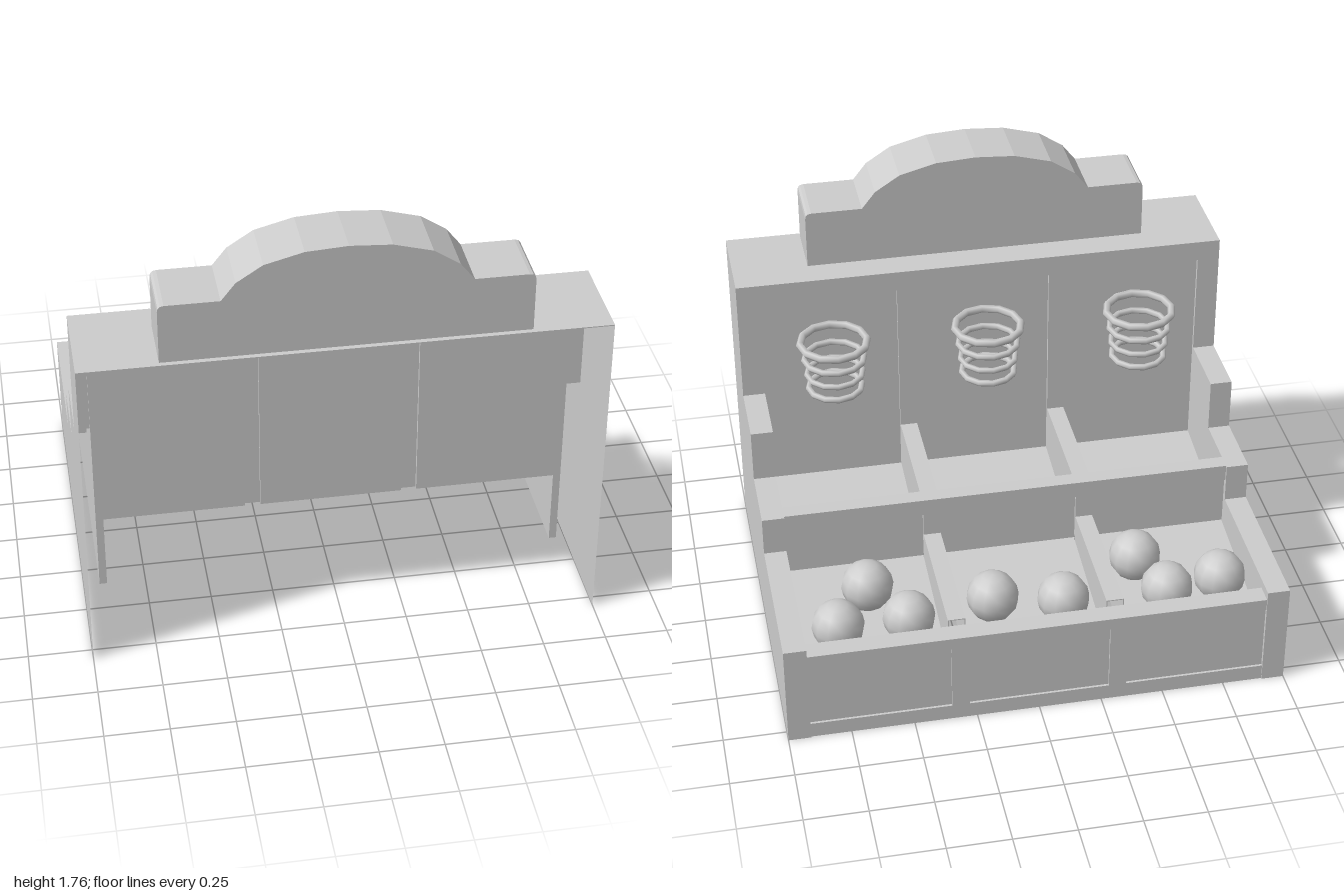
import * as THREE from 'three';

export function createModel() {
  const root = new THREE.Group();
  root.name = 'arcadeTossStand';
  const grey = new THREE.MeshStandardMaterial({ color: 0xcccccc, side: THREE.DoubleSide });
  grey.name = 'plain grey';

  const add = (name, geo, x = 0, y = 0, z = 0) => {
    const m = new THREE.Mesh(geo, grey);
    m.name = name;
    m.position.set(x, y, z);
    root.add(m);
    return m;
  };
  // box given by its limits
  const box = (name, x0, x1, y0, y1, z0, z1) =>
    add(name, new THREE.BoxGeometry(x1 - x0, y1 - y0, z1 - z0), (x0 + x1) / 2, (y0 + y1) / 2, (z0 + z1) / 2);
  // height of the sloping floor
  const floorY = z => 0.235 + (z + 0.715) * (0.15 / 1.14);
  // shape drawn in (z, y), turned so that it stands across x
  const sideShape = pts => new THREE.Shape(pts.map(([z, y]) => new THREE.Vector2(-z, y)));

  const T = 0.004;
  const steps = [[0.41, 1.335], [0.41, 0.82], [0.125, 0.82], [0.125, 0.6], [-0.165, 0.6], [-0.165, 0.437], [-0.8, 0.437]];
  const outer = sideShape([[0.8, 0], [0.8, 1.335], ...steps, [-0.8, 0]]);
  const inner = sideShape([[0.428, 0.065], [0.428, 1.335], ...steps, [-0.8, 0.065]]);

  // hollow stepped sides
  for (const s of [-1, 1]) {
    const sheet = new THREE.ShapeGeometry(outer).rotateY(Math.PI / 2);
    if (s < 0) sheet.scale(-1, 1, 1);
    if (s < 0) {
      const idx = sheet.index.array;
      for (let i = 0; i < idx.length; i += 3) [idx[i], idx[i + 1]] = [idx[i + 1], idx[i]];
      sheet.computeVertexNormals();
    }
    add('outerSide', sheet, s, 0, 0);
    const wall = new THREE.ExtrudeGeometry(inner, { depth: 0.03, bevelEnabled: false }).rotateY(Math.PI / 2);
    add('innerSide', wall, s > 0 ? 0.91 : -0.94, 0, 0);
    const x0 = s > 0 ? 0.91 : -1, x1 = x0 + 0.09;
    const path = [...steps, [-0.8, 0]];
    for (let i = 0; i < path.length - 1; i++) {
      const [za, ya] = path[i], [zb, yb] = path[i + 1];
      if (za === zb) box('stepRiser', x0, x1, yb, ya, za, za + T);
      else box('stepTread', x0, x1, ya - T, ya, zb, za);
    }
  }

  // top and header of the back housing
  box('housingTop', -1, 1, 1.335 - T, 1.335, 0.41, 0.8);
  box('header', -0.94, 0.94, 1.25, 1.335, 0.41, 0.414);

  // three bays: backboard panel, sloping floor, front panel
  const edges = [[-0.91, -0.35], [-0.28, 0.28], [0.35, 0.91]];
  const len = Math.hypot(1.14, 0.15), slope = Math.atan2(0.15, 1.14);
  edges.forEach(([a, b], i) => {
    const x0 = i === 0 ? -0.94 : a, x1 = i === 2 ? 0.94 : b;
    box('backboardPanel', x0, x1, 0.385, 1.25, 0.425, 0.428);
    box('panelTopReveal', a, b, 1.25, 1.253, 0.41, 0.428);
    add('slopingFloor', new THREE.PlaneGeometry(x1 - x0, len).rotateX(-Math.PI / 2 - slope), (x0 + x1) / 2, 0.31, -0.145);
    box('frontPanel', x0, x1, 0.065, 0.35, -0.785, -0.782);
    box('frontPanelLedge', a, b, 0.06, 0.065, -0.795, -0.782);
  });

  // dividers, open underneath and behind
  for (const c of [-0.315, 0.315]) {
    const l = c - 0.035, r = c + 0.035;
    box('backboardStrip', l, r, 0.385, 1.25, 0.41, 0.413);
    box('rearDividerTop', l, r, 0.586, 0.59, -0.09, 0.41);
    box('frontDividerTop', l, r, 0.426, 0.43, -0.715, -0.155);
    box('frontPanelStrip', l, r, 0.065, 0.35, -0.795, -0.782);
    box('crossRailStrip', l, r, 0.33, 0.53, -0.155, -0.14);
    for (const x of [l, r - T]) {
      box('stripWeb', x, x + T, 0.385, 1.25, 0.41, 0.428);
      // webs follow the floor
      for (const [za, zb, top, name] of [[-0.09, 0.41, 0.59, 'rearDividerWeb'], [-0.715, -0.155, 0.43, 'frontDividerWeb']]) {
        const web = sideShape([[za, floorY(za)], [zb, floorY(zb)], [zb, top], [za, top]]);
        add(name, new THREE.ExtrudeGeometry(web, { depth: T, bevelEnabled: false }).rotateY(Math.PI / 2), x, 0, 0);
      }
    }
  }

  // rail across the middle
  box('crossRail', -0.91, 0.91, 0.315, 0.6, -0.14, -0.09);
  box('crossRailLip', -0.91, 0.91, 0.53, 0.6, -0.155, -0.14);

  // front rail and its frame
  box('frontRailTop', -0.91, 0.91, 0.396, 0.4, -0.795, -0.715);
  box('frontRailFace', -0.91, 0.91, 0.35, 0.4, -0.795, -0.782);
  box('frontRailInside', -0.91, 0.91, 0.22, 0.4, -0.719, -0.715);
  box('frontBottomStrip', -0.91, 0.91, 0, 0.065, -0.795, -0.785);

  // arched sign board on top
  const sign = new THREE.Shape();
  sign.moveTo(-0.695, 1.335);
  sign.lineTo(0.695, 1.335);
  sign.lineTo(0.695, 1.55);
  sign.quadraticCurveTo(0.695, 1.575, 0.67, 1.575);
  for (const [x, y] of [[0.465, 1.575], [0.41, 1.645], [0.31, 1.71], [0.16, 1.75], [0, 1.76],
    [-0.16, 1.75], [-0.31, 1.71], [-0.41, 1.645], [-0.465, 1.575], [-0.67, 1.575]]) sign.lineTo(x, y);
  sign.quadraticCurveTo(-0.695, 1.575, -0.695, 1.55);
  add('signBoard', new THREE.ExtrudeGeometry(sign, { depth: 0.25, bevelEnabled: false, curveSegments: 3 }), 0, 0, 0.53);

  // hoops hanging in tapering stacks
  for (const x of [-0.632, 0, 0.632])
    [[1.12, 0.136, 0.016], [1.045, 0.122, 0.013], [0.975, 0.114, 0.012], [0.91, 0.109, 0.013]].forEach(([y, r, t], i) =>
      add(i ? 'netRing' : 'hoop', new THREE.TorusGeometry(r, t, 6, 12).rotateX(Math.PI / 2), x, y, 0.278));

  // balls resting on the floor
  for (const [x, z] of [[-0.785, -0.55], [-0.56, -0.58], [-0.475, -0.385], [-0.14, -0.57], [0.135, -0.515],
    [0.48, -0.57], [0.76, -0.57], [0.615, -0.375]])
    add('ball', new THREE.SphereGeometry(0.105, 12, 8), x, floorY(z) + 0.102, z);

  return root;
}
